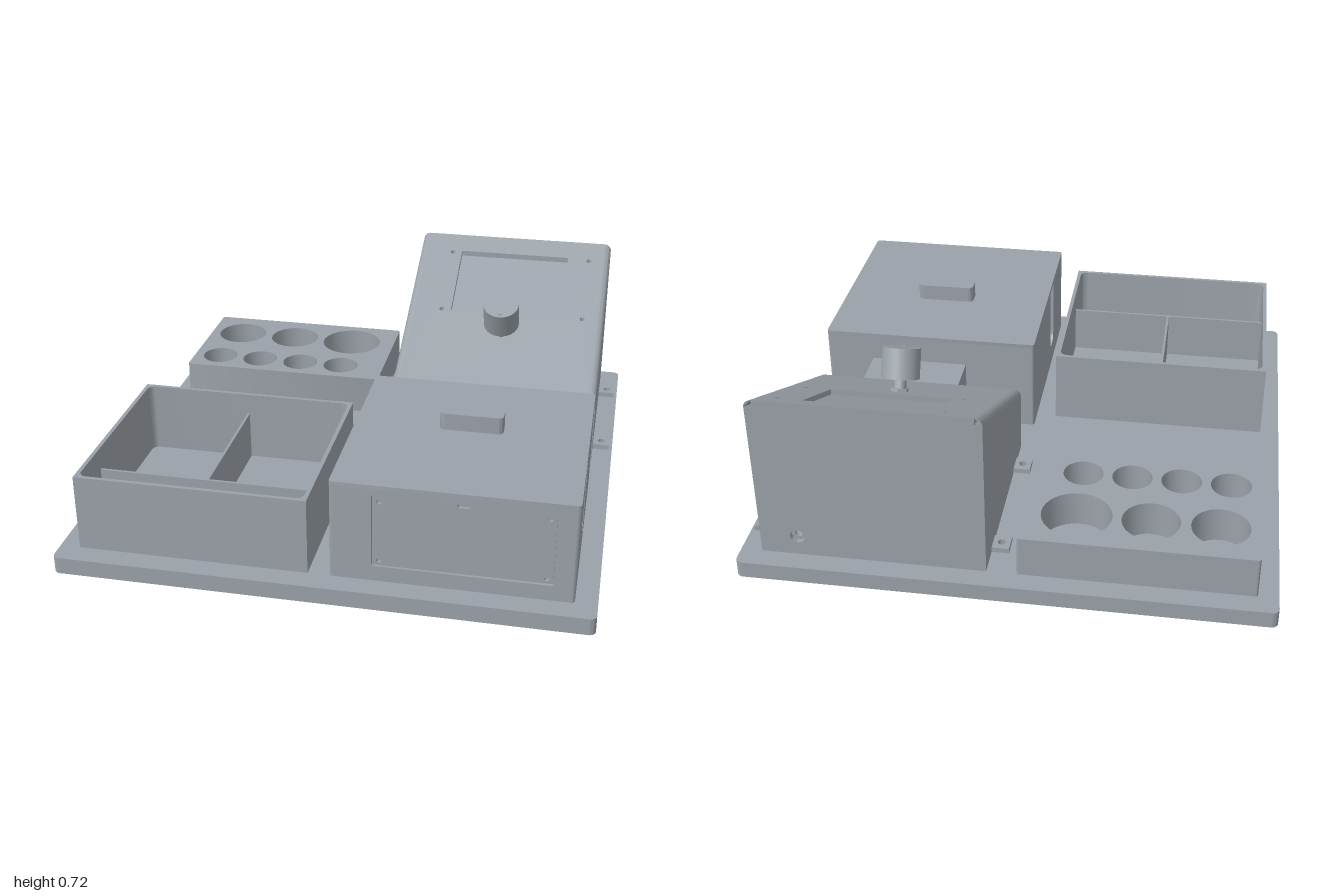
import * as THREE from 'three';
import { toCreasedNormals } from 'three/addons/utils/BufferGeometryUtils.js';

const grey = new THREE.MeshStandardMaterial({ color: 0x9aa1a8 });
grey.name = 'grey plastic';

// Rounded rectangle, usable as an outline or a hole
function rect(a0, a1, b0, b1, r = 0, Type = THREE.Shape) {
  const s = new Type();
  if (!r) {
    s.moveTo(a0, b0); s.lineTo(a1, b0); s.lineTo(a1, b1); s.lineTo(a0, b1); s.closePath();
    return s;
  }
  const h = Math.PI / 2;
  s.absarc(a1 - r, b0 + r, r, -h, 0);
  s.absarc(a1 - r, b1 - r, r, 0, h);
  s.absarc(a0 + r, b1 - r, r, h, 2 * h);
  s.absarc(a0 + r, b0 + r, r, 2 * h, 3 * h);
  s.closePath();
  return s;
}

function disc(a, b, r, Type = THREE.Path) {
  const s = new Type();
  s.absarc(a, b, r, 0, Math.PI * 2);
  return s;
}

// Plan outlines use (x, z) with z flipped, so they can be extruded upwards
const plan = (x0, x1, z0, z1, r = 0, Type = THREE.Shape) => rect(x0, x1, -z1, -z0, r, Type);
const planHole = (x, z, r) => disc(x, -z, r);

function extrude(shape, depth, holes = []) {
  shape.holes.push(...holes);
  return new THREE.ExtrudeGeometry(shape, { depth, bevelEnabled: false, curveSegments: 16 });
}

export function createModel() {
  const model = new THREE.Group();
  let parent = model;
  const group = (name) => {
    parent = new THREE.Group();
    parent.name = name;
    model.add(parent);
  };
  const add = (name, geo) => {
    const m = new THREE.Mesh(toCreasedNormals(geo, 0.6), grey);
    m.name = name;
    parent.add(m);
    return m;
  };
  const block = (name, x0, x1, y0, y1, z0, z1) =>
    add(name, new THREE.BoxGeometry(x1 - x0, y1 - y0, z1 - z0)
      .translate((x0 + x1) / 2, (y0 + y1) / 2, (z0 + z1) / 2));
  const slab = (name, shape, y0, y1, holes) =>
    add(name, extrude(shape, y1 - y0, holes).rotateX(-Math.PI / 2).translate(0, y0, 0));
  const upright = (name, shape, z0, z1, holes) =>
    add(name, extrude(shape, z1 - z0, holes).translate(0, 0, z0));
  // Outline in (z, y), thickness along x
  const side = (name, shape, x0, x1, holes) =>
    add(name, extrude(shape, x1 - x0, holes).rotateY(-Math.PI / 2).translate(x1, 0, 0));

  const B = 0.065; // top of the base

  // Base plate with fixing holes
  const fixings = [];
  for (const x of [0.1, 0.87]) for (const z of [0.09, 0.87]) fixings.push(planHole(x, z, 0.013));
  for (const x of [0.033, 0.935]) for (const z of [-0.77, -0.265]) fixings.push(planHole(x, z, 0.015));
  for (const x of [-0.82, -0.09]) fixings.push(planHole(x, -0.68, 0.013));
  slab('basePlate', plan(-0.98, 0.98, -1, 1, 0.025), 0, B, fixings);

  // Cup rack with blind holes
  group('cupRack');
  const cups = [[-0.76, -0.75, 0.107], [-0.51, -0.75, 0.107], [-0.24, -0.75, 0.13]];
  for (const x of [-0.79, -0.605, -0.42, -0.235]) cups.push([x, -0.49, 0.076]);
  slab('rackFloor', plan(-0.905, -0.045, -0.92, -0.375, 0.01), B, 0.085);
  slab('rackBody', plan(-0.905, -0.045, -0.92, -0.375, 0.01), 0.085, 0.225,
    cups.map((c) => planHole(...c)));

  // Open tray with dividers
  group('tray');
  slab('trayWalls', plan(-0.905, -0.045, 0.13, 0.915), B, 0.36,
    [plan(-0.89, -0.06, 0.145, 0.9, 0.03, THREE.Path)]);
  slab('trayFloor', plan(-0.9, -0.05, 0.135, 0.91), B, 0.082);
  block('crossDivider', -0.89, -0.06, 0.08, 0.275, 0.69, 0.7);
  block('longDivider', -0.48, -0.47, 0.08, 0.275, 0.145, 0.695);

  // Storage box
  group('storageBox');
  const [X0, X1, Z0, Z1, T, R] = [0.035, 0.9, 0.05, 0.915, 0.02, 0.012];
  const top = 0.435;
  for (const x of [X0 + R, X1 - R]) for (const z of [Z0 + R, Z1 - R])
    add('cornerEdge', new THREE.CylinderGeometry(R, R, top - B, 20).translate(x, (top + B) / 2, z));
  upright('frontWall', rect(X0 + R, X1 - R, B, top), Z1 - T, Z1,
    [rect(0.185, 0.825, 0.125, 0.41, 0.008, THREE.Path)]);
  block('backWall', X0 + R, X1 - R, B, top, Z0, Z0 + T);
  const slot = () => {
    const s = new THREE.Path();
    s.moveTo(0.635, top - 0.005);
    s.lineTo(0.54, top - 0.005);
    s.lineTo(0.54, 0.192);
    s.absarc(0.5875, 0.192, 0.0475, Math.PI, Math.PI * 2);
    s.closePath();
    return s;
  };
  for (const [name, x] of [['rightWall', X0], ['leftWall', X1 - T]])
    side(name, rect(Z0 + R, Z1 - R, B, top), x, x + T, [slot()]);
  side('roller', disc(0.5875, 0.192, 0.046, THREE.Shape), X0 + 0.012, X1 - 0.012,
    [disc(0.5875, 0.192, 0.016)]);
  slab('boxLid', plan(X0, X1, Z0, Z1, R), top, 0.45);
  slab('lidLip', plan(X0 + T, X1 - T, Z0 + T, Z1 - T), 0.4, top);
  slab('lidHandle', plan(0.35, 0.585, 0.38, 0.458, 0.02), 0.45, 0.515);

  // Inset front panel with screw holes and a finger notch
  const panel = new THREE.Shape();
  [[0.188, 0.128], [0.822, 0.128], [0.822, 0.407], [0.533, 0.407], [0.525, 0.392],
    [0.488, 0.392], [0.48, 0.407], [0.188, 0.407]].forEach((p, i) =>
    i ? panel.lineTo(...p) : panel.moveTo(...p));
  const screws = [];
  for (const x of [0.212, 0.8]) for (const y of [0.148, 0.385]) screws.push(disc(x, y, 0.01));
  upright('frontPanel', panel, Z1 - 0.018, Z1 - 0.006, screws);
  block('panelBacking', 0.18, 0.83, 0.12, 0.415, Z1 - 0.028, Z1 - 0.018);

  // Passage between the box and the console
  group('connector');
  block('connectorBlock', 0.32, 0.71, B, 0.335, -0.11, Z0);
  for (const [x0, x1, c] of [[0.275, 0.32, 0.297], [0.71, 0.755, 0.732]])
    slab('connectorTab', plan(x0, x1, -0.06, 0), B, 0.085, [planHole(c, -0.03, 0.011)]);

  // Sloping console
  group('console');
  const [C0, C1, F, K, low, high, r] = [0.065, 0.9, -0.11, -0.92, 0.335, 0.72, 0.028];
  const slope = (high - low) / (F - K);
  const shear = (mesh) => {
    const p = mesh.geometry.attributes.position;
    for (let i = 0; i < p.count; i++) p.setY(i, p.getY(i) + slope * (F - p.getZ(i)));
    mesh.geometry = toCreasedNormals(mesh.geometry, 0.6);
    return mesh;
  };
  const wedge = () => {
    const s = new THREE.Shape();
    s.moveTo(F, B);
    s.lineTo(F, low - r);
    s.lineTo(K, high - r);
    s.lineTo(K, B);
    s.closePath();
    return s;
  };
  side('consoleRightSide', wedge(), C0, C0 + r);
  side('consoleLeftSide', wedge(), C1 - r, C1);
  block('consoleFront', C0 + r, C1 - r, B, low - 0.01, F - 0.02, F);
  upright('consoleBack', rect(C0 + r, C1 - r, B, high - 0.015), K, K + 0.02, [disc(0.76, 0.145, 0.027)]);
  upright('cableSocket', disc(0.76, 0.145, 0.035, THREE.Shape), K + 0.02, K + 0.035, [disc(0.76, 0.145, 0.014)]);
  // Rounded long edges, cut upright at both ends
  for (const [x, a] of [[C0 + r, Math.PI / 2], [C1 - r, 0]]) {
    const q = new THREE.Shape();
    q.moveTo(x, low - r);
    q.absarc(x, low - r, r, a, a + Math.PI / 2);
    q.closePath();
    shear(upright('consoleRoundedEdge', q, K, F));
  }
  const faceHoles = [plan(0.25, 0.72, -0.83, -0.51, 0, THREE.Path)];
  for (const x of [0.21, 0.81]) for (const z of [-0.82, -0.51]) faceHoles.push(planHole(x, z, 0.01));
  shear(slab('consoleFace', plan(C0 + r, C1 - r, K, F), low - 0.022, low, faceHoles));
  shear(slab('screen', plan(0.2, 0.82, -0.85, -0.49), low - 0.034, low - 0.022));

  // Mounting tabs
  for (const z of [-0.77, -0.265]) for (const [x0, x1, c] of [[0, C0, 0.033], [C1, 0.967, 0.935]])
    slab('mountingTab', plan(x0, x1, z - 0.038, z + 0.038), B, 0.085, [planHole(c, z, 0.015)]);

  // Control knob, square to the sloping face
  group('controlKnob');
  parent.position.set(0.48, low + slope * (F + 0.417), -0.417);
  parent.rotation.x = Math.atan(slope);
  add('knobShaft', new THREE.CylinderGeometry(0.024, 0.024, 0.09, 24).translate(0, 0.025, 0));
  add('knobCollar', new THREE.CylinderGeometry(0.034, 0.034, 0.012, 6).translate(0, 0.006, 0));
  slab('knobCap', disc(0, 0, 0.073, THREE.Shape), 0.05, 0.168);
  add('knobMarker', new THREE.CylinderGeometry(0.009, 0.009, 0.003, 16).translate(0, 0.1695, 0.052));

  return model;
}
